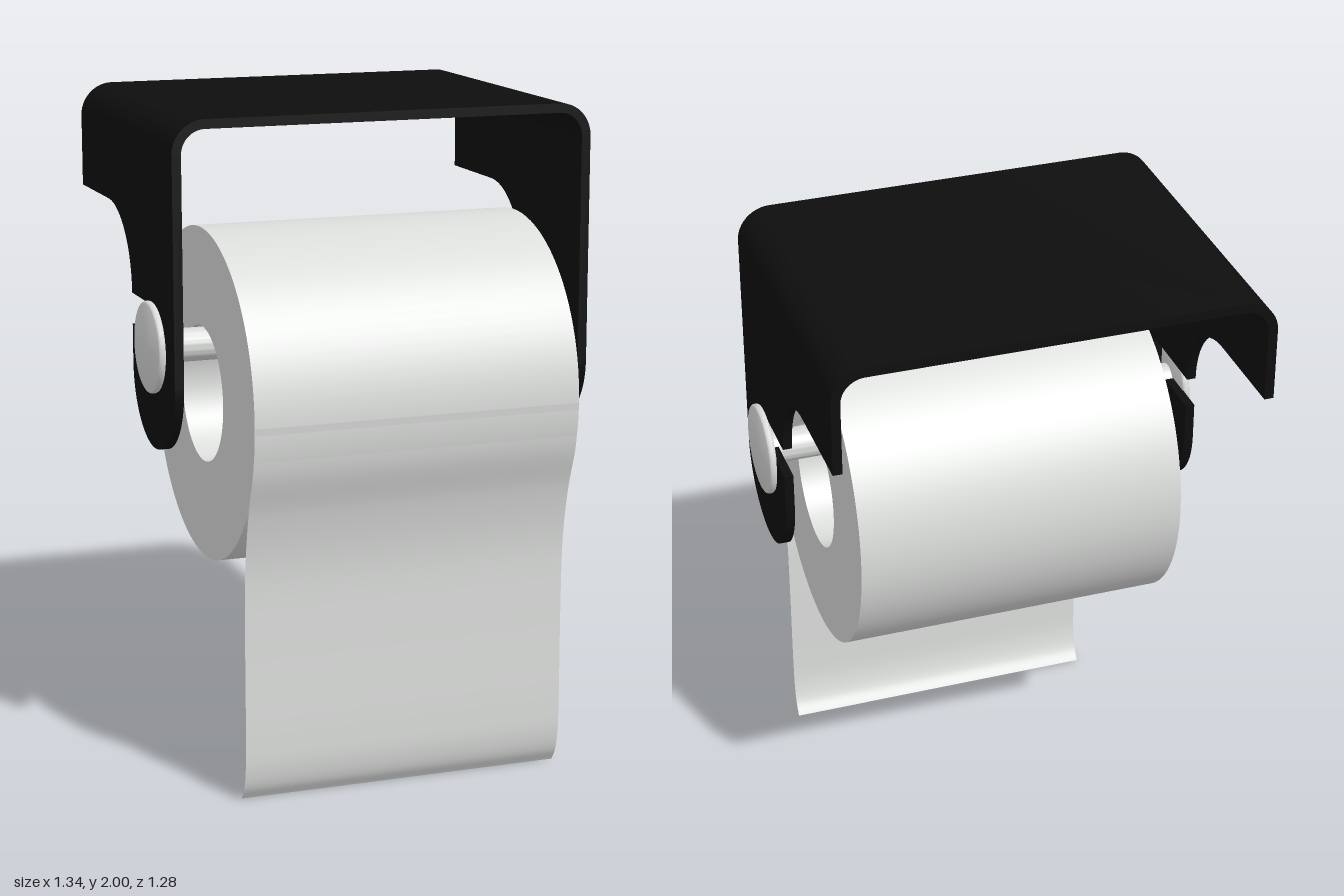
import * as THREE from 'three';
import { toCreasedNormals } from 'three/addons/utils/BufferGeometryUtils.js';

const AXLE_Y = 1.306, AXLE_Z = 0.14, ROLL_Y = 1.155;
const HALF_W = 0.65, PLATE = 0.028, BEND = 0.1;

function material(name, color, side = THREE.FrontSide) {
  const m = new THREE.MeshStandardMaterial({ color, side });
  m.name = name;
  return m;
}

function addMesh(parent, name, geometry, mat) {
  const mesh = new THREE.Mesh(geometry, mat);
  mesh.name = name;
  parent.add(mesh);
  return mesh;
}

// Lathe around the x axis from [radius, x] pairs
function latheX(points, segments) {
  const g = new THREE.LatheGeometry(points.map(([r, h]) => new THREE.Vector2(r, h)), segments);
  g.rotateZ(-Math.PI / 2);
  return toCreasedNormals(g, 0.6);
}

// Bent top plate: an arch section in x/y, drawn out along z
function topPlateGeometry() {
  const w = HALF_W, c = w - BEND, y = 2 - BEND, inner = BEND - PLATE;
  const s = new THREE.Shape();
  s.moveTo(w, y);
  s.absarc(c, y, BEND, 0, Math.PI / 2, false);
  s.absarc(-c, y, BEND, Math.PI / 2, Math.PI, false);
  s.lineTo(-w + PLATE, y);
  s.absarc(-c, y, inner, Math.PI, Math.PI / 2, true);
  s.absarc(c, y, inner, Math.PI / 2, 0, true);
  s.closePath();
  const g = new THREE.ExtrudeGeometry(s, { depth: 1, bevelEnabled: false, curveSegments: 16 });
  g.translate(0, 0, -0.64);
  return toCreasedNormals(g, 0.6);
}

// Side arm with a hooked slot for the axle; shape x runs towards the back
function armGeometry() {
  const s = new THREE.Shape();
  s.moveTo(-0.36, 2 - BEND);
  s.lineTo(-0.36, 1.22);
  s.absarc(-AXLE_Z, 1.22, 0.22, Math.PI, Math.PI * 2, false);
  s.lineTo(0.08, 1.335);
  s.lineTo(-0.09, 1.335);
  s.lineTo(-0.09, AXLE_Y);
  s.absarc(-AXLE_Z, AXLE_Y, 0.05, 0, Math.PI, true);
  s.lineTo(-0.19, 1.43);
  s.lineTo(0.08, 1.43);
  s.absarc(0.33, 1.43, 0.25, Math.PI, Math.PI / 2, true);
  s.lineTo(0.64, 1.68);
  s.lineTo(0.64, 2 - BEND);
  s.closePath();
  const g = new THREE.ExtrudeGeometry(s, { depth: PLATE, bevelEnabled: false, curveSegments: 32 });
  g.rotateY(Math.PI / 2);
  return toCreasedNormals(g, 0.6);
}

// Loose sheet: a plane whose rows follow a curve in y/z
function sheetGeometry() {
  const path = new THREE.CatmullRomCurve3([
    [0.642, 1.155], [0.623, 1.02], [0.575, 0.88], [0.543, 0.72], [0.535, 0.5],
    [0.535, 0.2], [0.53, 0.1], [0.515, 0.04], [0.49, 0],
  ].map(([z, y]) => new THREE.Vector3(0, y, z)));
  const g = new THREE.PlaneGeometry(1, 1, 1, 60);
  const pos = g.attributes.position;
  for (let i = 0; i < pos.count; i++) {
    const p = path.getPoint(0.5 - pos.getY(i));
    pos.setXYZ(i, pos.getX(i), p.y, p.z);
  }
  g.computeVertexNormals();
  return g;
}

export function createModel() {
  const model = new THREE.Group();
  model.name = 'toiletRollHolder';
  const black = material('black metal', 0x0e0e0e);
  const steel = material('pale steel', 0xd8dad8);
  const paper = material('paper', 0xdadcda);
  const sheetPaper = material('sheet paper', 0xdadcda, THREE.DoubleSide);

  // Bracket
  const bracket = new THREE.Group();
  bracket.name = 'bracket';
  model.add(bracket);
  addMesh(bracket, 'topPlate', topPlateGeometry(), black);
  const arm = armGeometry();
  addMesh(bracket, 'leftArm', arm, black).position.x = HALF_W - PLATE;
  addMesh(bracket, 'rightArm', arm, black).position.x = -HALF_W;

  // Axle with rounded end caps
  const axle = new THREE.Group();
  axle.name = 'axle';
  axle.position.set(0, AXLE_Y, AXLE_Z);
  model.add(axle);
  addMesh(axle, 'axleRod', latheX([[0.05, -0.65], [0.05, 0.65]], 48), steel);
  const cap = latheX([
    [0, 0.648], [0.13, 0.648], [0.135, 0.651], [0.137, 0.655],
    [0.137, 0.664], [0.135, 0.668], [0.13, 0.671], [0, 0.671],
  ], 64);
  addMesh(axle, 'leftCap', cap, steel);
  addMesh(axle, 'rightCap', cap, steel).rotation.y = Math.PI;

  // Hollow roll hanging on the axle
  const roll = latheX([[0.5, -0.5], [0.5, 0.5], [0.205, 0.5], [0.205, -0.5], [0.5, -0.5]], 96);
  addMesh(model, 'paperRoll', roll, paper).position.set(0, ROLL_Y, AXLE_Z);
  addMesh(model, 'hangingSheet', sheetGeometry(), sheetPaper);

  return model;
}
